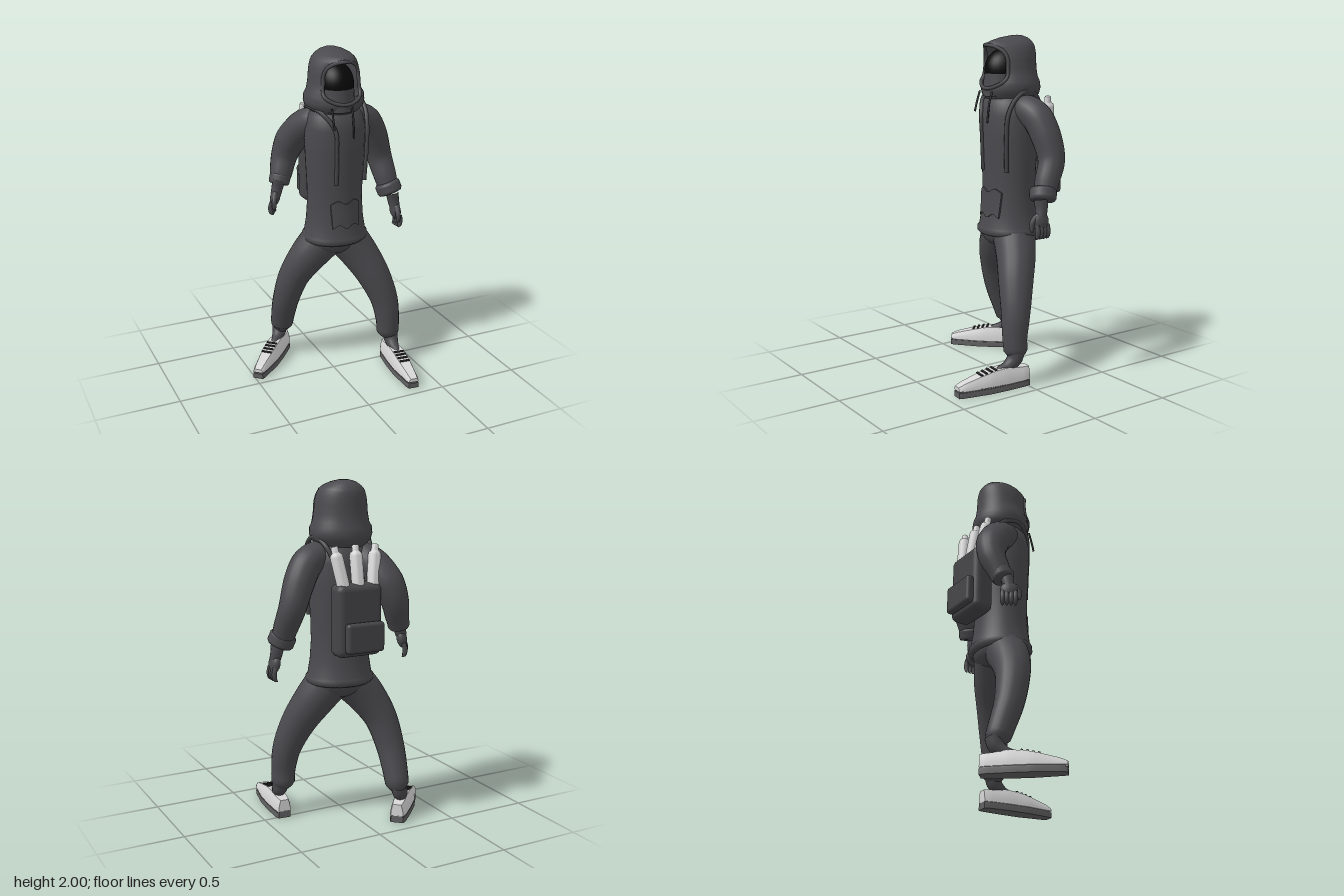
import * as THREE from 'three';
import { mergeVertices, toCreasedNormals } from 'three/addons/utils/BufferGeometryUtils.js';
import { RoundedBoxGeometry } from 'three/addons/geometries/RoundedBoxGeometry.js';

const mat = (name, color, side = THREE.FrontSide) => {
  const m = new THREE.MeshStandardMaterial({ color, side });
  m.name = name;
  return m;
};
const V = (a) => new THREE.Vector3(a[0], a[1], a[2]);

// piecewise linear lookup in [[key, value], ...]
function lookup(table, k) {
  for (let i = 1; i < table.length; i++) {
    const [a, va] = table[i - 1], [b, vb] = table[i];
    if (k <= b) return va + (vb - va) * Math.max(0, (k - a) / (b - a));
  }
  return table[table.length - 1][1];
}

function smooth(g) {
  g.deleteAttribute('uv');
  g.deleteAttribute('normal');
  g = mergeVertices(g, 1e-5);
  g.computeVertexNormals();
  return g;
}

// tube with a radius at each path point: [x, y, z, r]
function limbGeometry(points, segments = 36, sides = 20) {
  const curve = new THREE.CatmullRomCurve3(points.map(V));
  const g = new THREE.TubeGeometry(curve, segments, 1, sides);
  const radii = points.map((p, i) => [i, p[3]]);
  const p = g.attributes.position, v = new THREE.Vector3();
  for (let j = 0; j <= segments; j++) {
    const u = j / segments, c = curve.getPointAt(u);
    const r = lookup(radii, curve.getUtoTmapping(u) * (points.length - 1));
    for (let i = 0; i <= sides; i++) {
      const k = j * (sides + 1) + i;
      v.fromBufferAttribute(p, k).sub(c).multiplyScalar(r).add(c);
      p.setXYZ(k, v.x, v.y, v.z);
    }
  }
  return smooth(g);
}

const cord = (points, r, closed = false) =>
  new THREE.TubeGeometry(new THREE.CatmullRomCurve3(points.map(V), closed), 48, r, 8, closed);

// torso: elliptical, [radius, y]
const CX = 0.06, CZ = -0.12, DEPTH = 0.88;
const TORSO = [[0.001, 0.83], [0.19, 0.835], [0.205, 0.85], [0.203, 0.875], [0.192, 0.885], [0.178, 0.97], [0.17, 1.08],
  [0.172, 1.2], [0.182, 1.4], [0.184, 1.54], [0.165, 1.62], [0.11, 1.68], [0.001, 1.7]];
const torsoFront = (x, y) => {
  const r = lookup(TORSO.map(([a, b]) => [b, a]), y), d = (x - CX) / r;
  return CZ + DEPTH * r * Math.sqrt(Math.max(0, 1 - d * d));
};

// hood rows: y, half width, half depth, centre z, half angle of the opening, brim reach
const HOOD = [[1.63, 0.13, 0.14, -0.13, 0, 0], [1.665, 0.172, 0.166, -0.13, 0, 0], [1.7, 0.182, 0.172, -0.13, 0.2, 0],
  [1.735, 0.18, 0.166, -0.13, 0.65, 0], [1.765, 0.163, 0.155, -0.13, 0.8, 0], [1.81, 0.154, 0.15, -0.13, 0.82, 0],
  [1.86, 0.15, 0.148, -0.13, 0.82, 0], [1.9, 0.144, 0.146, -0.132, 0.72, 0.01], [1.93, 0.134, 0.138, -0.136, 0.45, 0.03],
  [1.945, 0.125, 0.13, -0.14, 0, 0.055], [1.965, 0.105, 0.11, -0.148, 0, 0.045], [1.985, 0.07, 0.078, -0.16, 0, 0.02],
  [1.997, 0.03, 0.035, -0.17, 0, 0], [2.0, 0.001, 0.001, -0.175, 0, 0]];
const hoodPoint = ([y, rx, rz, cz, , brim], a) => {
  const c = Math.cos(a);
  return [0.058 + rx * Math.sin(a), y, cz + rz * c + brim * Math.max(0, c) ** 3];
};
function hoodGeometry() {
  const n = 48, pos = [], idx = [];
  HOOD.forEach((row, j) => {
    for (let i = 0; i <= n; i++) pos.push(...hoodPoint(row, row[4] + (2 * Math.PI - 2 * row[4]) * i / n));
    if (j) for (let i = 0; i < n; i++) {
      const a = (j - 1) * (n + 1) + i, b = a + n + 1;
      idx.push(a, a + 1, b, a + 1, b + 1, b);
    }
  });
  const g = new THREE.BufferGeometry();
  g.setAttribute('position', new THREE.Float32BufferAttribute(pos, 3));
  g.setIndex(idx);
  g.computeVertexNormals();
  return g;
}

// box shaped by width and height tables along the foot, heel at z = 0
const SHOE_LEN = 0.46;
const SHOE_WIDTH = [[0, 0.037], [0.06, 0.047], [0.35, 0.055], [0.6, 0.056], [0.96, 0.037], [1, 0.031]];
const SHOE_TOP = [[0, 0.112], [0.15, 0.117], [0.35, 0.128], [0.52, 0.122], [0.7, 0.104], [0.92, 0.078], [1, 0.062]];
function footGeometry(bottom, top, taper) {
  const g = new THREE.BoxGeometry(1, 1, 1, 4, 4, 20), p = g.attributes.position;
  for (let i = 0; i < p.count; i++) {
    const t = p.getZ(i) + 0.5, h = p.getY(i) + 0.5, y0 = bottom(t);
    const w = lookup(SHOE_WIDTH, t) * (1 - taper * h * h);
    p.setXYZ(i, p.getX(i) * 2 * w, y0 + (top(t) - y0) * h, t * SHOE_LEN);
  }
  return toCreasedNormals(g, 0.6);
}

export function createModel() {
  const model = new THREE.Group();
  const cloth = mat('charcoal cloth', 0x4a4a4e), clothOpen = mat('charcoal hood cloth', 0x4a4a4e, THREE.DoubleSide);
  const packCloth = mat('pack fabric', 0x454548), trim = mat('dark trim', 0x303033);
  const black = mat('black face', 0x080808), white = mat('light grey', 0xd6d6d6), soleGrey = mat('sole grey', 0x606062);
  const add = (name, geo, material, parent = model) => {
    const m = new THREE.Mesh(geo, material);
    m.name = name;
    parent.add(m);
    return m;
  };
  const ball = (name, pos, scale, material, parent) => {
    const m = add(name, new THREE.SphereGeometry(1, 32, 20), material, parent);
    m.position.set(...pos);
    m.scale.set(...scale);
    return m;
  };

  // hoodie body
  const body = add('hoodieBody', new THREE.LatheGeometry(TORSO.map(([r, y]) => new THREE.Vector2(r, y)), 40), cloth);
  body.position.set(CX, 0, CZ);
  body.scale.z = DEPTH;

  // front pocket, bent over the belly
  const pocket = new THREE.BoxGeometry(0.19, 0.15, 0.009, 12, 4, 1), pp = pocket.attributes.position;
  for (let i = 0; i < pp.count; i++) {
    const x = pp.getX(i) * (1 - 0.7 * (0.075 - pp.getY(i)) * 0.8) + 0.068;
    const y = pp.getY(i) + 1.03 - 0.012 * Math.cos(pp.getX(i) * 60);
    pp.setXYZ(i, x, y, torsoFront(x, y) + pp.getZ(i) + 0.006);
  }
  pocket.computeVertexNormals();
  add('frontPocket', pocket, cloth);

  // head, mask and hood
  ball('head', [0.05, 1.8, -0.11], [0.112, 0.13, 0.142], black);
  const mask = add('faceMask', new THREE.CylinderGeometry(0.112, 0.118, 0.13, 32, 1, true), clothOpen);
  mask.position.set(0.05, 1.715, -0.11);
  mask.scale.z = 1.28;
  add('hood', hoodGeometry(), clothOpen);
  const rows = HOOD.slice(2, 9);
  const rim = [...rows.map((r) => hoodPoint(r, r[4])), hoodPoint(HOOD[9], 0),
    ...rows.reverse().map((r) => hoodPoint(r, -r[4]))];
  add('hoodRim', cord(rim, 0.011, true), cloth);
  for (const [x, y] of [[-0.025, 1.56], [0.1, 1.5]])
    add('drawstring', cord([[x, 1.68, 0.03], [x, 1.62, 0.05], [x, y, 0.066]], 0.006), trim);

  // sleeves with cuffs
  add('leftSleeve', limbGeometry([[0.14, 1.59, -0.13, 0.06], [0.2, 1.58, -0.13, 0.085], [0.28, 1.54, -0.15, 0.09],
    [0.34, 1.44, -0.17, 0.088], [0.387, 1.3, -0.178, 0.078], [0.408, 1.18, -0.13, 0.07], [0.42, 1.1, -0.1, 0.06]]), cloth);
  add('rightSleeve', limbGeometry([[0, 1.59, -0.14, 0.06], [-0.04, 1.57, -0.17, 0.09], [-0.09, 1.52, -0.25, 0.095],
    [-0.14, 1.42, -0.325, 0.095], [-0.175, 1.32, -0.345, 0.08], [-0.208, 1.22, -0.32, 0.068], [-0.225, 1.16, -0.31, 0.055]]), cloth);
  const cuff = (name, a, b, r) => {
    const at = (t) => V(a).lerp(V(b), t).toArray();
    add(name, limbGeometry([[...at(0), 0.03], [...at(0.08), r * 0.9], [...at(0.25), r], [...at(0.75), r],
      [...at(0.92), r * 0.9], [...at(1), 0.02]], 24), cloth);
  };
  cuff('leftCuff', [0.405, 1.15, -0.108], [0.428, 1.075, -0.085], 0.078);
  cuff('rightCuff', [-0.21, 1.225, -0.317], [-0.232, 1.155, -0.302], 0.064);

  // gloved hands
  const hand = (name, pos, yaw, tilt, side) => {
    const g = new THREE.Group();
    g.name = name;
    g.position.set(...pos);
    g.rotation.set(0, yaw, tilt);
    model.add(g);
    ball('palm', [0, 0, 0], [0.03, 0.055, 0.05], cloth, g);
    add('wrist', limbGeometry([[0, 0.12, -0.01, 0.04], [0, 0.07, -0.01, 0.036], [0, 0.02, 0, 0.032]], 10, 14), cloth, g);
    for (let i = 0; i < 4; i++) {
      const z = (i - 1.5) * 0.024;
      add('finger', limbGeometry([[side * 0.008, -0.02, z, 0.014], [side * 0.01, -0.06, z, 0.015],
        [0, -0.09, z, 0.013], [-side * 0.015, -0.1, z, 0.004]], 12, 10), cloth, g);
    }
    add('thumb', limbGeometry([[0, 0.03, 0.03, 0.016], [-side * 0.01, -0.01, 0.056, 0.016],
      [-side * 0.016, -0.05, 0.056, 0.013], [-side * 0.016, -0.062, 0.053, 0.003]], 12, 10), cloth, g);
  };
  hand('leftHand', [0.447, 0.97, -0.06], 0, 0.15, 1);
  hand('rightHand', [-0.262, 1.085, -0.285], -0.6, -0.2, -1);

  // trousers
  ball('pelvis', [0.055, 0.845, -0.12], [0.19, 0.105, 0.15], cloth);
  add('leftTrouserLeg', limbGeometry([[0.11, 0.86, -0.115, 0.13], [0.2, 0.73, -0.07, 0.118], [0.275, 0.59, -0.015, 0.103],
    [0.335, 0.42, 0.03, 0.085], [0.352, 0.28, 0.048, 0.072], [0.356, 0.2, 0.045, 0.07], [0.357, 0.165, 0.045, 0.035]]), cloth);
  add('rightTrouserLeg', limbGeometry([[0.01, 0.86, -0.125, 0.13], [-0.1, 0.73, -0.155, 0.115], [-0.175, 0.6, -0.195, 0.097],
    [-0.215, 0.43, -0.245, 0.084], [-0.222, 0.29, -0.295, 0.075], [-0.222, 0.21, -0.32, 0.07], [-0.226, 0.165, -0.32, 0.035]]), cloth);

  // shoes: heel and toe positions on the ground
  for (const [name, heel, toe] of [['leftShoe', [0.378, -0.02], [0.335, 0.437]], ['rightShoe', [-0.175, -0.4], [-0.482, -0.065]]]) {
    const g = new THREE.Group();
    g.name = name;
    g.position.set(heel[0], 0, heel[1]);
    g.rotation.y = Math.atan2(toe[0] - heel[0], toe[1] - heel[1]);
    model.add(g);
    add('sole', footGeometry(() => 0, () => 0.032, 0.04), soleGrey, g);
    add('midsole', footGeometry(() => 0.03, () => 0.044, 0.1).scale(0.9, 1, 0.97), soleGrey, g);
    add('upper', footGeometry(() => 0.04, (t) => lookup(SHOE_TOP, t), 0.35), white, g);
    add('ankle', limbGeometry([[0, 0.21, 0.07, 0.05], [0, 0.16, 0.085, 0.046], [0, 0.125, 0.13, 0.034],
      [0, 0.114, 0.19, 0.018], [0, 0.11, 0.21, 0.003]], 20), cloth, g);
    for (const z of [0.222, 0.252, 0.282, 0.312]) {
      const lace = add('lace', new THREE.BoxGeometry(0.066, 0.009, 0.011), trim, g);
      lace.position.set(0, lookup(SHOE_TOP, z / SHOE_LEN) + 0.003, z);
      lace.rotation.x = 0.2;
    }
  }

  // backpack
  add('backpack', new RoundedBoxGeometry(0.28, 0.41, 0.13, 4, 0.04), packCloth).position.set(0.065, 1.235, -0.325);
  add('backpackPocket', new RoundedBoxGeometry(0.235, 0.17, 0.05, 4, 0.02), packCloth).position.set(0.055, 1.145, -0.411);
  add('leftStrap', cord([[0.2, 1.22, 0], [0.208, 1.4, 0.008], [0.215, 1.55, 0.0], [0.225, 1.645, -0.05], [0.225, 1.685, -0.13],
    [0.2, 1.64, -0.22], [0.16, 1.52, -0.27], [0.15, 1.4, -0.3]], 0.013), packCloth);
  add('rightStrap', cord([[0.005, 1.22, 0.026], [0.005, 1.4, 0.034], [-0.005, 1.55, 0.034], [-0.06, 1.64, -0.02], [-0.105, 1.67, -0.12],
    [-0.08, 1.64, -0.22], [-0.03, 1.52, -0.275], [-0.02, 1.4, -0.3]], 0.013), packCloth);

  // spray cans leaning out of the pack
  const can = [[0.001, 0], [0.036, 0], [0.036, 0.2], [0.033, 0.215], [0.022, 0.225], [0.02, 0.23], [0.02, 0.255], [0.016, 0.262], [0.001, 0.262]];
  const canGeo = toCreasedNormals(new THREE.LatheGeometry(can.map((p) => new THREE.Vector2(...p)), 24), 0.7);
  for (const [x, tilt] of [[-0.03, 0.14], [0.06, 0], [0.145, -0.18]]) {
    const c = add('sprayCan', canGeo, white);
    c.position.set(x, 1.39, -0.345);
    c.rotation.set(0.16, 0, tilt);
  }
  return model;
}
